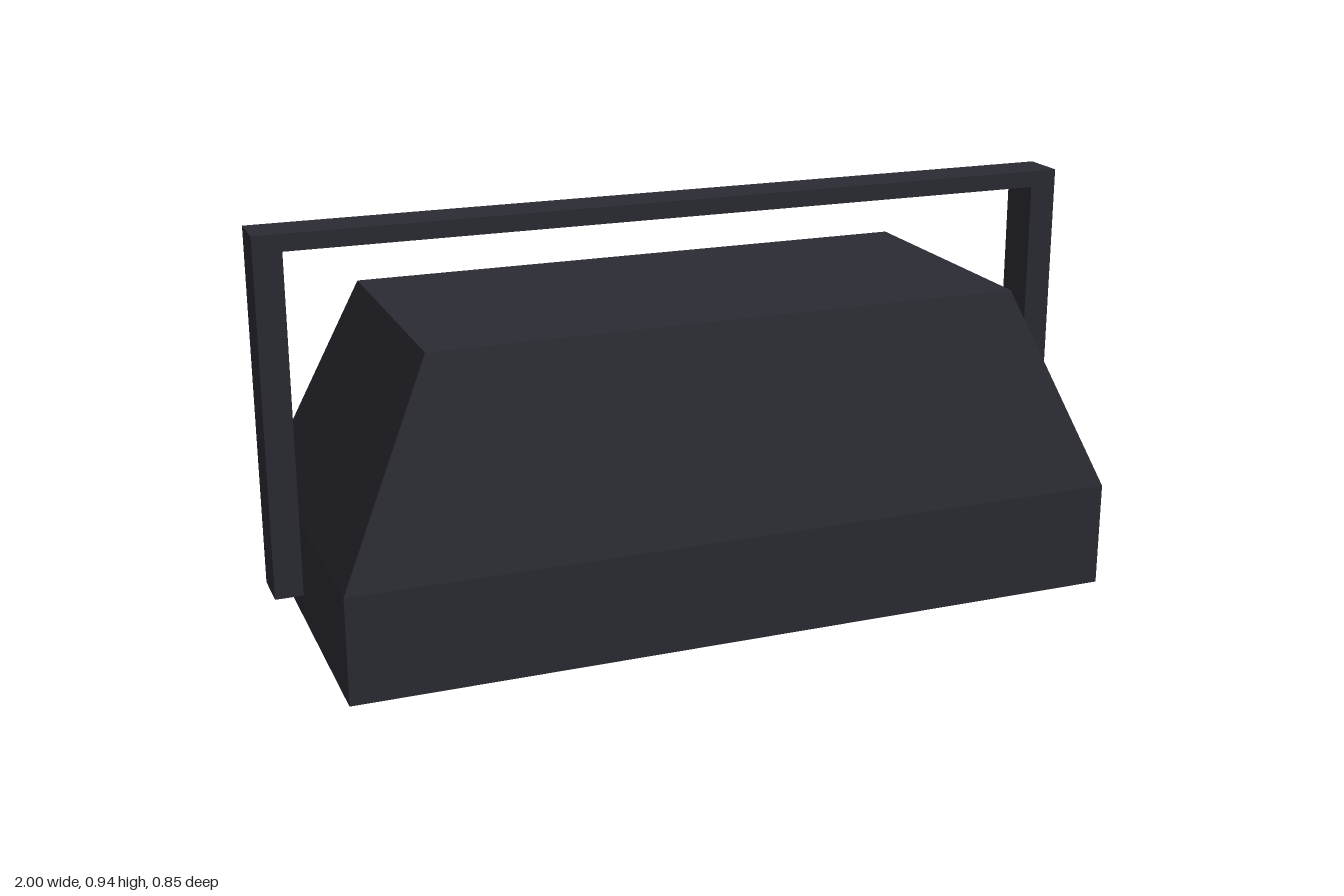
import * as THREE from 'three';

export function createModel() {
  const model = new THREE.Group();
  const darkMetal = new THREE.MeshStandardMaterial({ color: 0x2b2b33 });

  const add = (name, geometry) => {
    const mesh = new THREE.Mesh(geometry, darkMetal);
    mesh.name = name;
    model.add(mesh);
    return mesh;
  };

  const width = 1.846, depth = 0.85, baseHeight = 0.25, lidHeight = 0.483;

  // Rectangular lower box
  add('base', new THREE.BoxGeometry(width, baseHeight, depth)).position.y = baseHeight / 2;

  // Tapered lid: a box with its top corners pulled inwards
  const lid = new THREE.BoxGeometry(width, lidHeight, depth);
  const p = lid.attributes.position;
  for (let i = 0; i < p.count; i++) {
    if (p.getY(i) > 0) {
      p.setX(i, Math.sign(p.getX(i)) * 0.703);
      p.setZ(i, Math.sign(p.getZ(i)) * 0.323);
    }
  }
  lid.computeVertexNormals();
  add('lid', lid).position.y = baseHeight + lidHeight / 2;

  // Carrying handle: one square arch, set slightly behind the middle
  const arch = new THREE.Shape([
    [-1, 0.09], [-0.934, 0.09], [-0.934, 0.9], [0.934, 0.9],
    [0.934, 0.09], [1, 0.09], [1, 0.94], [-1, 0.94],
  ].map(([x, y]) => new THREE.Vector2(x, y)));
  const handle = new THREE.ExtrudeGeometry(arch, { depth: 0.11, bevelEnabled: false });
  add('handle', handle).position.z = -0.098;

  return model;
}
